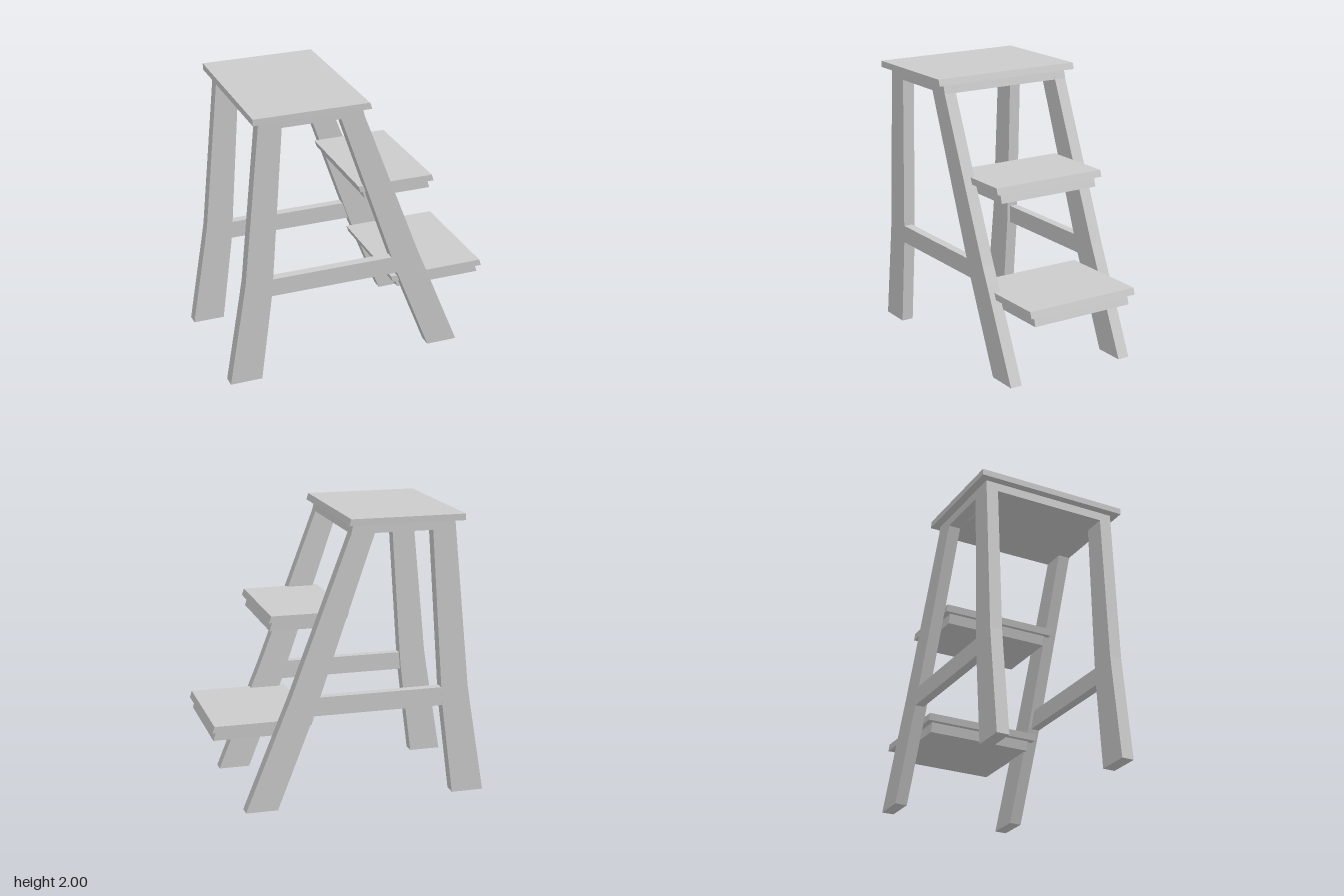
import * as THREE from 'three';

const material = new THREE.MeshStandardMaterial({ color: 0xcccccc });
const TOP = 1.955; // underside of the seat
const DRIFT = 0.043; // sideways lean of the frames at the floor

// Side profile (x, y) given depth from z0 to z1; lean shifts z towards the floor
function board(name, points, z0, z1, lean = 0) {
  const shape = new THREE.Shape(points.map(([x, y]) => new THREE.Vector2(x, y)));
  const geometry = new THREE.ExtrudeGeometry(shape, { depth: z1 - z0, bevelEnabled: false });
  geometry.translate(0, 0, z0);
  const p = geometry.attributes.position;
  for (let i = 0; i < p.count; i++) {
    p.setZ(i, p.getZ(i) - lean * (1 - p.getY(i) / TOP));
  }
  geometry.computeVertexNormals();
  const mesh = new THREE.Mesh(geometry, material);
  mesh.name = name;
  return mesh;
}

// Horizontal plank whose ends slant outwards going down
const plank = (name, x0, x1, y0, y1, z0, z1, slant = 0.015) =>
  board(name, [[x0 + slant, y0], [x1 + slant, y0], [x1, y1], [x0, y1]], z0, z1);

// Two bent legs joined by the bridge under the seat
const framePoints = [
  [-0.965, 0], [-0.735, 0], [-0.655, 0.65], [-0.645, 0.78], [-0.572, 1.89],
  [-0.16, 1.89], [0.23, 0.78], [0.275, 0.65], [0.535, 0],
  [0.76, 0], [0.49, 0.65], [0.435, 0.78], [0.005, 1.89], [-0.01, TOP],
  [-0.73, TOP], [-0.736, 1.89], [-0.84, 0.78], [-0.86, 0.65],
];

const stretcherPoints = [[-0.67, 0.65], [0.3, 0.65], [0.25, 0.78], [-0.66, 0.78]];

export function createModel() {
  const model = new THREE.Group();
  model.name = 'stepStool';

  // Side frames with stretchers
  for (const side of [1, -1]) {
    const label = side > 0 ? 'front' : 'back';
    const span = (a, b) => (side > 0 ? [a, b] : [-b, -a]);
    model.add(board(label + 'LegFrame', framePoints, ...span(0.412, 0.5), DRIFT));
    model.add(board(label + 'Stretcher', stretcherPoints, ...span(0.435, 0.499), DRIFT));
  }

  // Seat and the slab filling the space between the frames
  model.add(board('seat', [[-0.785, TOP], [0.035, TOP], [0.02, 2], [-0.785, 2]], -0.555, 0.555));
  model.add(board('seatSupport', [[-0.736, 1.89], [0.005, 1.89], [-0.01, TOP], [-0.73, TOP]], -0.412, 0.412));

  // Steps: a tread over a smaller support board
  const steps = [
    { name: 'upper', x0: -0.005, x1: 0.54, y: 1.345, inset: 0.042 },
    { name: 'lower', x0: 0.248, x1: 0.942, y: 0.602, inset: 0.047 },
  ];
  for (const { name, x0, x1, y, inset } of steps) {
    model.add(plank(name + 'Tread', x0, x1, y - 0.046, y, -0.426, 0.428));
    model.add(plank(name + 'TreadSupport', x0 + inset, x1 - 0.018, y - 0.113, y - 0.046, -0.385, 0.388, 0.02));
  }
  return model;
}
